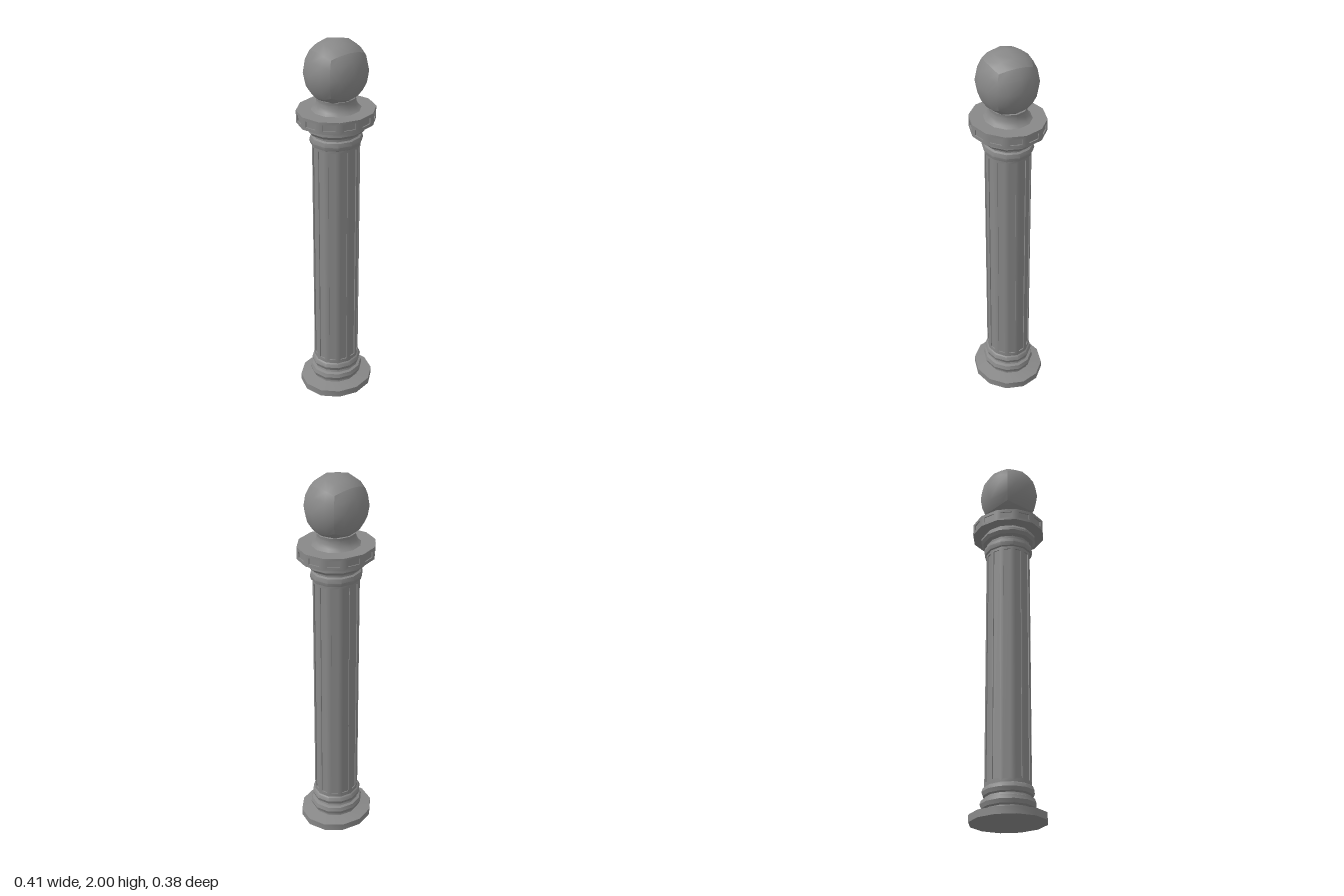
import * as THREE from 'three';
import { toCreasedNormals } from 'three/addons/utils/BufferGeometryUtils.js';

const SIDES = 12;
const DEPTH = 0.93; // every section is slightly narrower front to back
const material = new THREE.MeshStandardMaterial({ color: 0x888888 });

function addMesh(group, name, geometry) {
  const mesh = new THREE.Mesh(geometry.scale(1, 1, DEPTH), material);
  mesh.name = name;
  group.add(mesh);
  return mesh;
}

// Turned part with twelve sides; profile is [radius, height] from bottom to top
function turned(profile) {
  const points = profile.map(([r, y]) => new THREE.Vector2(r, y));
  return toCreasedNormals(new THREE.LatheGeometry(points, SIDES), 0.6);
}

// Twelve-sided wall with a shallow, straight-sided recess in every face
function panelledWall(radius, y0, y1, marginU, marginY, depth) {
  const positions = [];
  const quad = (a, b, c, d) => [a, b, c, a, c, d].forEach((p) => positions.push(p.x, p.y, p.z));
  const step = (Math.PI * 2) / SIDES;
  const corner = (k) => new THREE.Vector3(Math.sin(k * step) * radius, 0, Math.cos(k * step) * radius);
  for (let i = 0; i < SIDES; i++) {
    const from = corner(i);
    const to = corner(i + 1);
    const inward = from.clone().add(to).normalize().multiplyScalar(-1);
    const loop = (mu, my, d) =>
      [[mu, y0 + my], [1 - mu, y0 + my], [1 - mu, y1 - my], [mu, y1 - my]].map(([u, y]) =>
        from.clone().lerp(to, u).addScaledVector(inward, d).setY(y));
    const outer = loop(0, 0, 0);
    const rim = loop(marginU, marginY, 0);
    const panel = loop(marginU, marginY, depth);
    for (let k = 0; k < 4; k++) {
      const n = (k + 1) % 4;
      quad(outer[k], outer[n], rim[n], rim[k]);
      quad(rim[k], rim[n], panel[n], panel[k]);
    }
    quad(...panel);
  }
  const geometry = new THREE.BufferGeometry();
  geometry.setAttribute('position', new THREE.Float32BufferAttribute(positions, 3));
  return toCreasedNormals(geometry, 0.6);
}

// Ball made from a subdivided cube pushed out to a sphere
function cubeBall(radius) {
  const geometry = new THREE.BoxGeometry(2, 2, 2, 4, 4, 4);
  const pos = geometry.attributes.position;
  const v = new THREE.Vector3();
  for (let i = 0; i < pos.count; i++) {
    v.fromBufferAttribute(pos, i).setLength(radius);
    pos.setXYZ(i, v.x, v.y, v.z);
  }
  geometry.computeVertexNormals();
  return geometry;
}

export function createModel() {
  const post = new THREE.Group();
  post.name = 'bollardPost';

  // Base plate and the two rounded rings above it
  addMesh(post, 'base', turned([
    [0, 0], [0.203, 0], [0.203, 0.037], [0.13, 0.05], [0.128, 0.062],
    [0.14, 0.068], [0.147, 0.088], [0.14, 0.108], [0.125, 0.113], [0.12, 0.125],
    [0.131, 0.131], [0.138, 0.15], [0.131, 0.169], [0.124, 0.174], [0.124, 0.18],
  ]));

  // Fluted shaft
  addMesh(post, 'shaft', panelledWall(0.124, 0.18, 1.46, 0.22, 0.015, 0.006));

  // Rings under the collar
  addMesh(post, 'capital', turned([
    [0.124, 1.46], [0.132, 1.464], [0.138, 1.484], [0.132, 1.504], [0.122, 1.51],
    [0.122, 1.524], [0.143, 1.53], [0.156, 1.546], [0.154, 1.56], [0.143, 1.57],
    [0.138, 1.58],
  ]));

  // Wide collar with panelled rim
  addMesh(post, 'collarUnderside', turned([[0.1, 1.58], [0.203, 1.58]]));
  addMesh(post, 'collarRim', panelledWall(0.203, 1.58, 1.643, 0.2, 0.016, 0.006));
  addMesh(post, 'collarTop', turned([[0.203, 1.643], [0.122, 1.643]]));

  // Flared neck holding the ball
  addMesh(post, 'neck', turned([
    [0.128, 1.643], [0.113, 1.655], [0.104, 1.672], [0.1, 1.69], [0.102, 1.705], [0, 1.707],
  ]));

  // Ball finial, sitting a touch off centre
  const ball = addMesh(post, 'ballFinial', cubeBall(0.164));
  ball.position.set(-0.003, 1.836, 0.002);

  return post;
}
